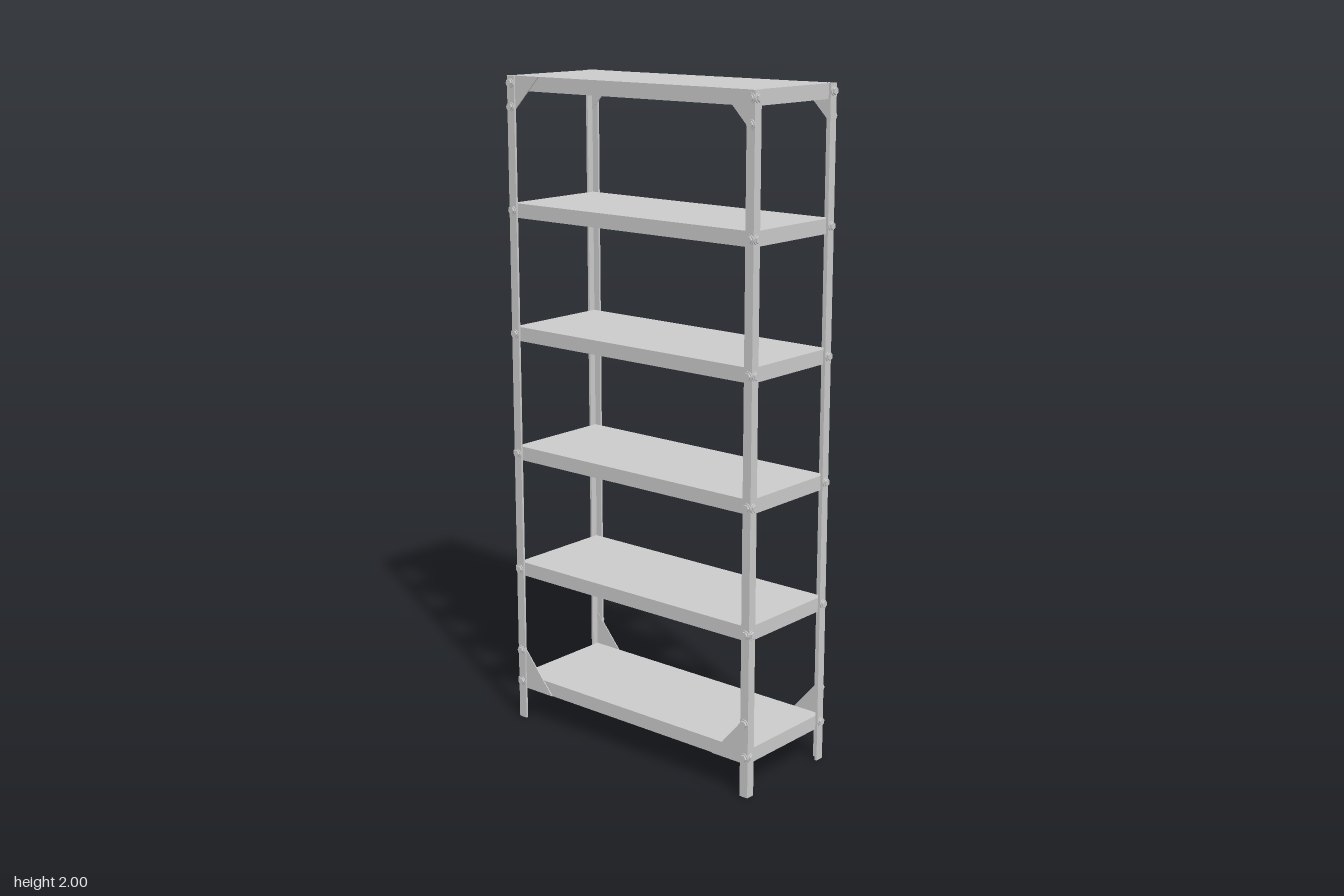
import * as THREE from 'three';

const material = new THREE.MeshStandardMaterial({ color: 0xcccccc, flatShading: true });
const HX = 0.182, HZ = 0.457; // outer half sizes of the posts
const SX = 0.174, SZ = 0.45; // half sizes of the shelves
const SHEET = 0.004, SHELF_H = 0.043, LEG = 0.028, FLANGE = 0.028;

function add(parent, name, geometry, x = 0, y = 0, z = 0) {
  const mesh = new THREE.Mesh(geometry, material);
  mesh.name = name;
  mesh.position.set(x, y, z);
  parent.add(mesh);
  return mesh;
}

function polygon(points) {
  return new THREE.Shape(points.map(([x, y]) => new THREE.Vector2(x, y)));
}

// L-section post, drawn in plan and extruded upwards
function postGeometry(sx, sz) {
  const t = 0.007;
  const plan = [[HX, HZ], [HX - LEG, HZ], [HX - LEG, HZ - t], [HX - t, HZ - t], [HX - t, HZ - LEG], [HX, HZ - LEG]];
  const shape = polygon(plan.map(([x, z]) => [x * sx, -z * sz]));
  return new THREE.ExtrudeGeometry(shape, { depth: 2, bevelEnabled: false }).rotateX(-Math.PI / 2);
}

// Folded tray: panel, skirts and an inward flange underneath
function makeShelf(top) {
  const shelf = new THREE.Group();
  shelf.name = 'shelf';
  shelf.position.y = top;
  add(shelf, 'shelfPanel', new THREE.BoxGeometry(2 * SX, SHEET, 2 * SZ), 0, -SHEET / 2, 0);
  const h = SHELF_H - SHEET, y = -SHEET - h / 2, yf = -SHELF_H + SHEET / 2;
  for (const s of [-1, 1]) {
    add(shelf, 'longSkirt', new THREE.BoxGeometry(SHEET, h, 2 * SZ), s * (SX - SHEET / 2), y, 0);
    add(shelf, 'endSkirt', new THREE.BoxGeometry(2 * (SX - SHEET), h, SHEET), 0, y, s * (SZ - SHEET / 2));
    add(shelf, 'longFlange', new THREE.BoxGeometry(FLANGE, SHEET, 2 * (SZ - SHEET)), s * (SX - SHEET - FLANGE / 2), yf, 0);
    add(shelf, 'endFlange', new THREE.BoxGeometry(2 * (SX - SHEET - FLANGE), SHEET, FLANGE), 0, yf, s * (SZ - SHEET - FLANGE / 2));
  }
  return shelf;
}

// Bolt with washer and hexagonal head, pointing along +y
function makeBolt() {
  const bolt = new THREE.Group();
  bolt.name = 'bolt';
  add(bolt, 'washer', new THREE.CylinderGeometry(0.014, 0.014, 0.003, 16), 0, 0.0015, 0);
  add(bolt, 'boltHead', new THREE.CylinderGeometry(0.011, 0.011, 0.006, 6), 0, 0.005, 0);
  return bolt;
}

// Triangular corner plate in the plane of the long side
function gussetGeometry(sz, atTop) {
  const points = atTop
    ? [[SZ, 2], [SZ, 1.882], [0.335, 2]]
    : [[SZ, 0.1], [SZ, 0.252], [0.32, 0.1]];
  const shape = polygon(points.map(([z, y]) => [-z * sz, y]));
  return new THREE.ExtrudeGeometry(shape, { depth: 0.003, bevelEnabled: false })
    .translate(0, 0, -0.0015).rotateY(Math.PI / 2);
}

export function createModel() {
  const group = new THREE.Group();
  group.name = 'shelvingUnit';
  const tops = Array.from({ length: 6 }, (_, i) => 0.143 + i * 0.3714);
  tops.forEach((top) => group.add(makeShelf(top)));

  const sideBolt = (sx, x, y, z) => {
    const bolt = makeBolt();
    bolt.rotation.z = -sx * Math.PI / 2;
    bolt.position.set(sx * x, y, z);
    group.add(bolt);
  };
  const endBolt = (sz, x, y) => {
    const bolt = makeBolt();
    bolt.rotation.x = sz * Math.PI / 2;
    bolt.position.set(x, y, sz * HZ);
    group.add(bolt);
  };

  for (const sx of [-1, 1]) {
    for (const sz of [-1, 1]) {
      add(group, 'post', postGeometry(sx, sz));
      for (const atTop of [true, false]) {
        add(group, 'cornerGusset', gussetGeometry(sz, atTop), sx * (SX + 0.0015), 0, 0);
      }
      // Bolts at each shelf, plus the far ends of the gussets
      const heights = tops.map((top) => top - 0.0215);
      heights.forEach((y) => endBolt(sz, sx * (HX - 0.013), y));
      [...heights, 0.225, 1.91].forEach((y) => sideBolt(sx, HX, y, sz * (HZ - 0.013)));
    }
  }
  // Extra pair of bolts on one upper gusset
  sideBolt(1, SX + 0.002, 1.978, -0.385);
  sideBolt(1, SX + 0.002, 1.978, -0.357);
  return group;
}
